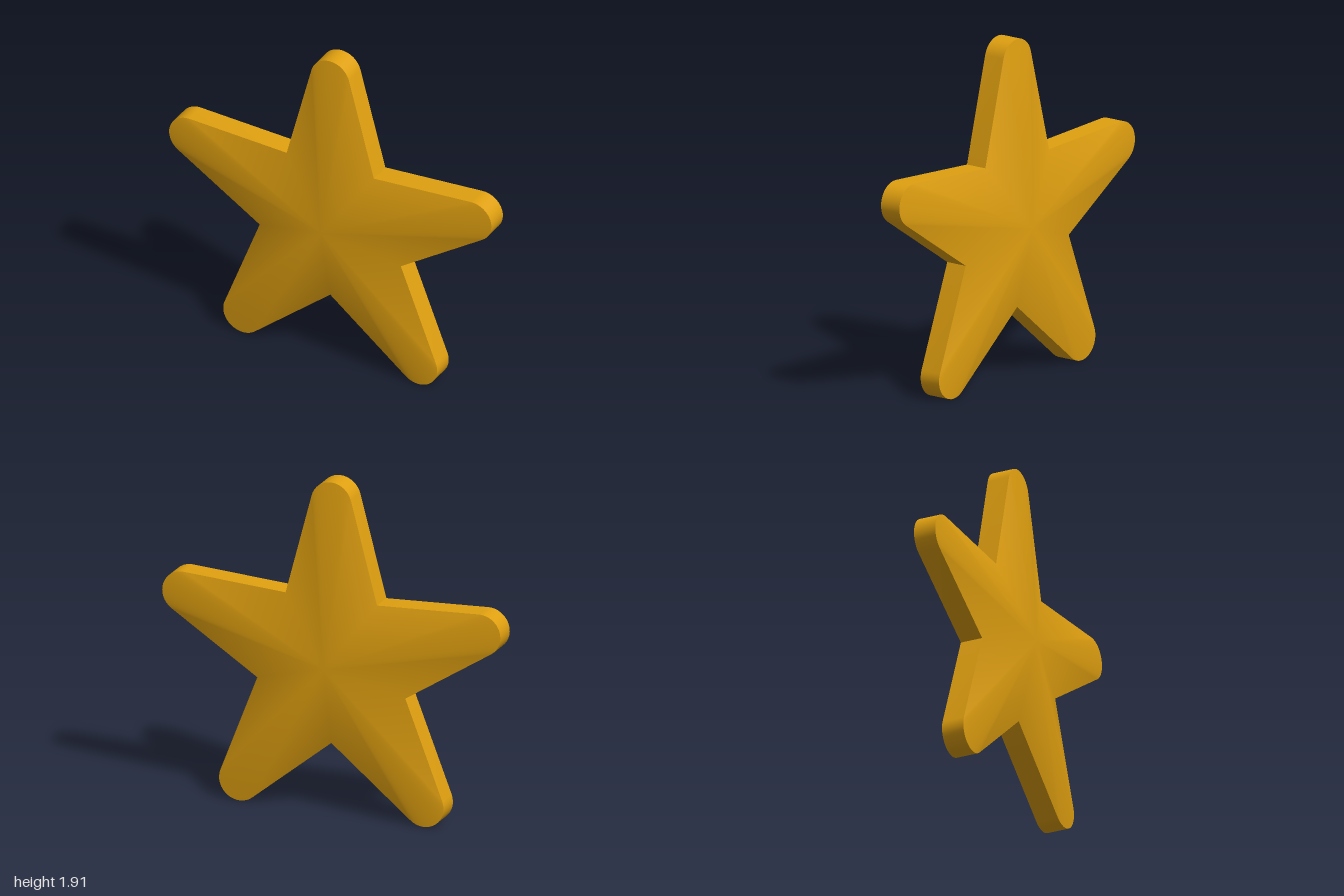
import * as THREE from 'three';
import { toCreasedNormals } from 'three/addons/utils/BufferGeometryUtils.js';

const CENTER_Y = 0.868;  // height of the star's middle
const INNER = 0.46;      // radius of the notches between arms
const ARM = 0.925;       // distance to the centre of each rounded tip
const TIP = 0.12;        // radius of each rounded tip
const RIM_Z = 0.065;     // half thickness at the rim
const APEX_Z = 0.176;    // half thickness at the middle
const STEPS = 16;        // segments around each tip

// Counter-clockwise outline: five arms with tangent sides and round tips
function starOutline() {
  const notch = new THREE.Vector2(Math.sin(Math.PI / 5), Math.cos(Math.PI / 5)).multiplyScalar(INNER);
  const toNotch = new THREE.Vector2(notch.x, notch.y - ARM);
  const start = toNotch.angle() - 2 * Math.PI + Math.acos(TIP / toNotch.length());
  const origin = new THREE.Vector2();
  const points = [];
  for (let arm = 0; arm < 5; arm++) {
    const turn = arm * Math.PI * 2 / 5;
    points.push(notch.clone().rotateAround(origin, turn));
    for (let i = 0; i <= STEPS; i++) {
      const a = start + (Math.PI - 2 * start) * i / STEPS;
      points.push(new THREE.Vector2(TIP * Math.cos(a), ARM + TIP * Math.sin(a)).rotateAround(origin, turn));
    }
  }
  return points;
}

// Triangles given as corner triples, smooth except at sharp corners
function surface(corners) {
  const geometry = new THREE.BufferGeometry();
  geometry.setAttribute('position', new THREE.Float32BufferAttribute(corners.flat(), 3));
  return toCreasedNormals(geometry, Math.PI / 4);
}

export function createModel() {
  const gold = new THREE.MeshStandardMaterial({ color: 0xe0a010 });
  gold.name = 'gold';
  const star = new THREE.Group();
  star.name = 'star';

  const outline = starOutline();
  const front = [], back = [], rim = [];
  outline.forEach((p, i) => {
    const q = outline[(i + 1) % outline.length];
    const pf = [p.x, p.y, RIM_Z], qf = [q.x, q.y, RIM_Z];
    const pb = [p.x, p.y, -RIM_Z], qb = [q.x, q.y, -RIM_Z];
    front.push([0, 0, APEX_Z], pf, qf);
    back.push([0, 0, -APEX_Z], qb, pb);
    rim.push(pf, pb, qb, pf, qb, qf);
  });

  // Peaked faces and the flat band around them
  for (const [name, corners] of Object.entries({ frontFace: front, backFace: back, rim })) {
    const mesh = new THREE.Mesh(surface(corners), gold);
    mesh.name = name;
    mesh.position.y = CENTER_Y;
    star.add(mesh);
  }
  return star;
}
